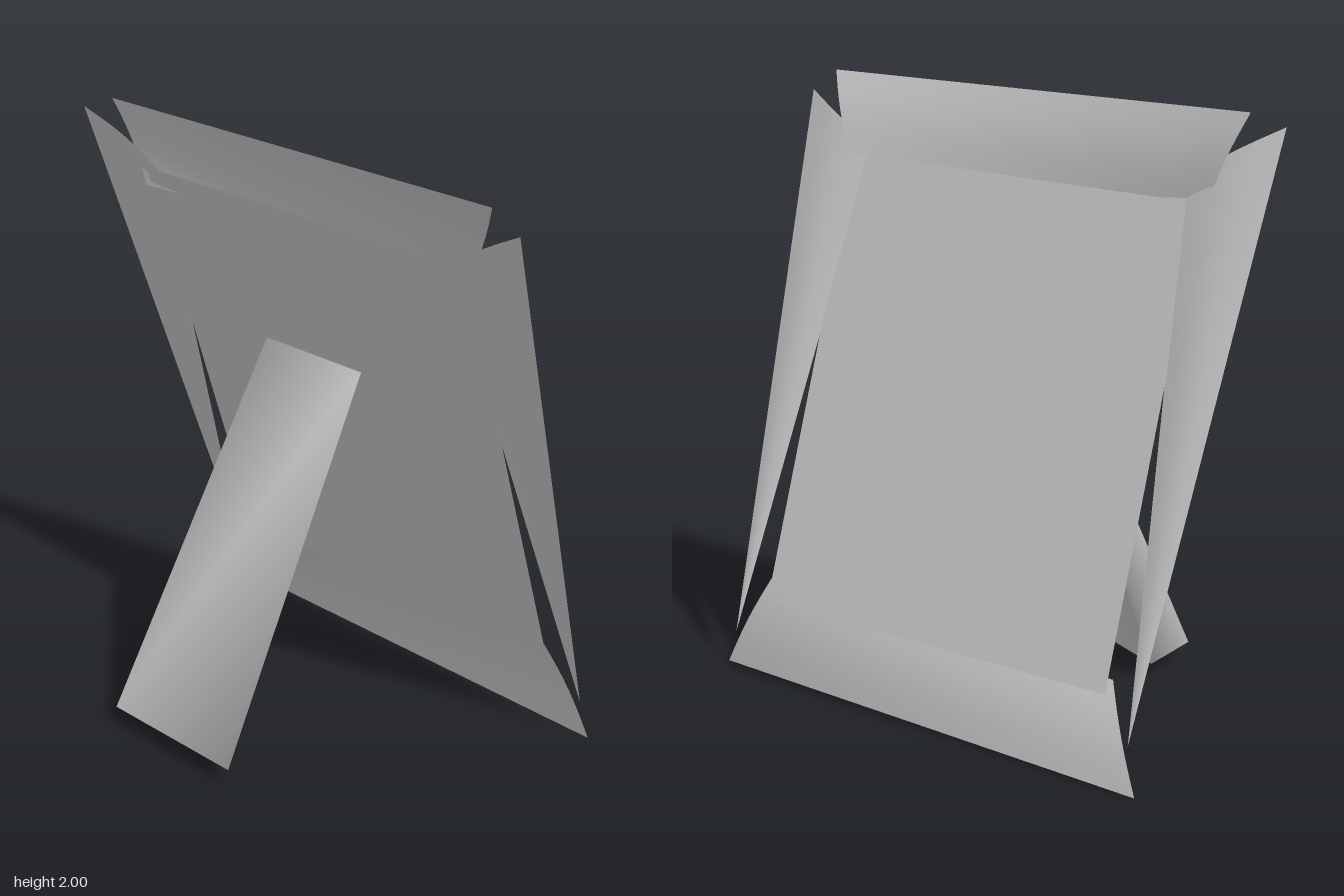
import * as THREE from 'three';

const material = new THREE.MeshStandardMaterial({ color: 0xcccccc, side: THREE.DoubleSide });
const vec = (p) => new THREE.Vector3(...p);

// The board leans back: its x position at a given height
const lean = (y) => 0.545 - 0.319 * y;
const facing = new THREE.Vector3(1, 0.319, 0).normalize();

// Ruled sheet between an outer and an inner edge, gently bowed forwards
function sheet(name, outerA, outerB, innerA, innerB, bow = 0) {
  const along = 12, across = 8, pos = [], index = [];
  for (let i = 0; i <= along; i++) {
    const outer = vec(outerA).lerp(vec(outerB), i / along);
    const inner = vec(innerA).lerp(vec(innerB), i / along);
    const width = Math.min(1, outer.distanceTo(inner) / 0.25);
    for (let j = 0; j <= across; j++) {
      const t = j / across;
      const p = outer.clone().lerp(inner, t);
      p.addScaledVector(facing, bow * width * Math.sin(Math.PI * t));
      pos.push(p.x, p.y, p.z);
      if (i < along && j < across) {
        const a = i * (across + 1) + j, b = a + across + 1;
        index.push(a, a + 1, b, b, a + 1, b + 1);
      }
    }
  }
  const geo = new THREE.BufferGeometry();
  geo.setAttribute('position', new THREE.Float32BufferAttribute(pos, 3));
  geo.setIndex(index);
  geo.computeVertexNormals();
  const mesh = new THREE.Mesh(geo, material);
  mesh.name = name;
  return mesh;
}

// Wedge-shaped prism lofted between two triangles, with flat end caps
function wedge(name, bottom, top) {
  const group = new THREE.Group();
  group.name = name;
  const add = (points, index, part) => {
    const geo = new THREE.BufferGeometry();
    geo.setAttribute('position', new THREE.Float32BufferAttribute(points.flat(), 3));
    geo.setIndex(index);
    geo.computeVertexNormals();
    const mesh = new THREE.Mesh(geo, material);
    mesh.name = part;
    group.add(mesh);
  };
  const index = [];
  for (let i = 0; i < 3; i++) {
    const j = (i + 1) % 3;
    index.push(i, i + 3, j, j, i + 3, j + 3);
  }
  add([...bottom, ...top], index, 'standSides');
  add(bottom, [0, 1, 2], 'standFoot');
  add(top, [0, 2, 1], 'standTop');
  return group;
}

export function createModel() {
  const model = new THREE.Group();
  model.name = 'pictureFrame';

  // Leaning picture board
  const lo = 0.265, hi = 1.76, half = 0.71;
  model.add(sheet('board',
    [lean(hi), hi, half], [lean(hi), hi, -half],
    [lean(lo), lo, half], [lean(lo), lo, -half]));

  // Top and bottom rails, slightly twisted so one end slips behind the board
  model.add(sheet('topRail',
    [-0.09, 2.0, 0.87], [-0.03, 1.97, -0.86],
    [0.035, 1.74, 0.7], [0.0, 1.69, -0.73], 0.012));
  model.add(sheet('bottomRail',
    [0.495, 0.025, 0.87], [0.54, 0.005, -0.88],
    [0.44, 0.337, 0.71], [0.42, 0.3, -0.71], 0.012));

  // Side rails, tapering to a point at the bottom
  for (const s of [1, -1]) {
    const tip = [lean(0.14), 0.14, 0.825 * s];
    model.add(sheet(s > 0 ? 'leftRail' : 'rightRail',
      [-0.07, 1.93, 0.96 * s], tip,
      [lean(1.76) - 0.002, 1.76, 0.64 * s], tip, 0.015));
  }

  // Rear stand leg
  model.add(wedge('stand',
    [[-0.545, 0.07, 0.235], [-0.545, 0.07, -0.32], [-0.34, 0.045, -0.31]],
    [[0.15, 1.22, 0.135], [0.15, 1.22, -0.306], [0.185, 1.08, -0.3]]));

  return model;
}
